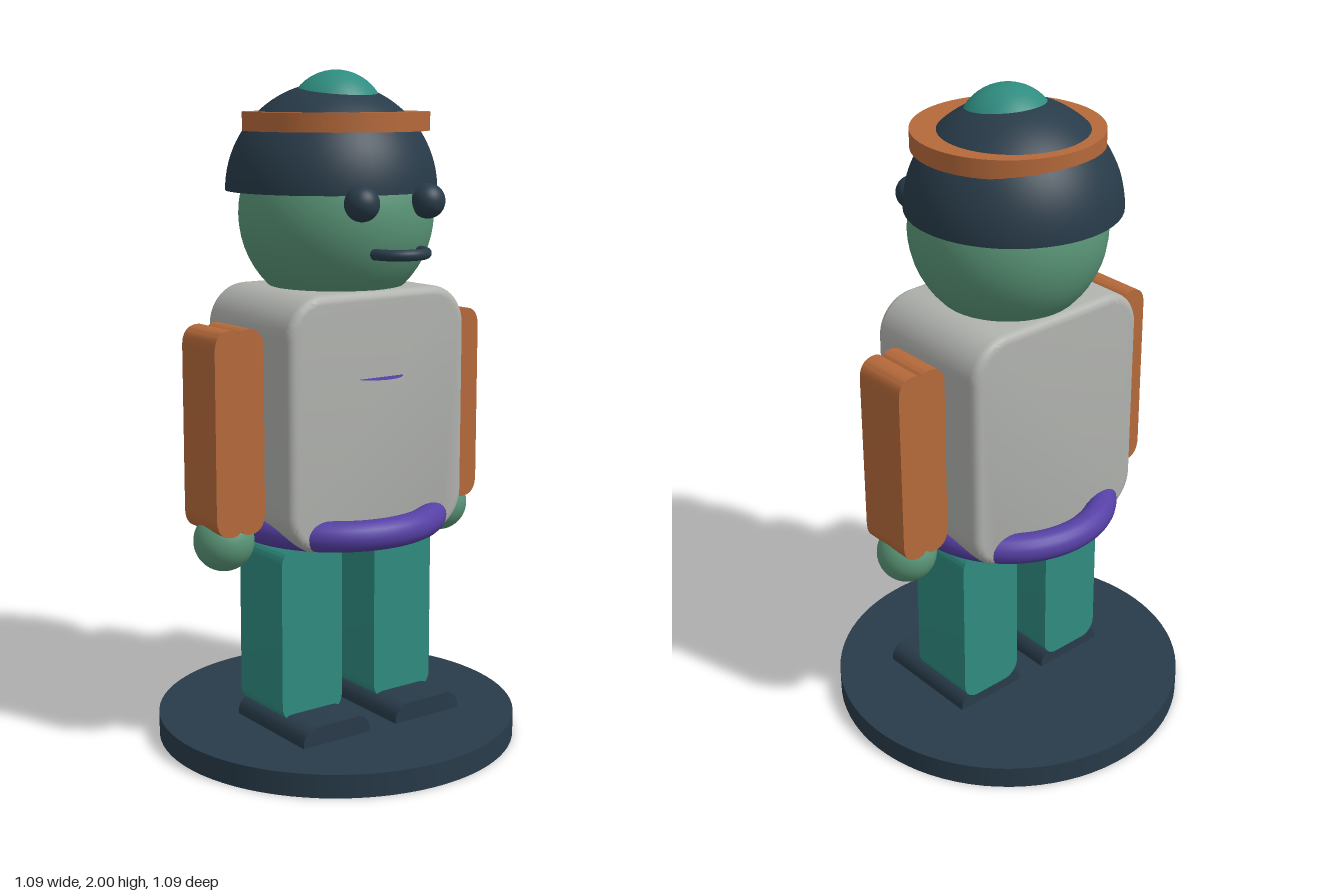
import * as THREE from 'three';
import { toCreasedNormals } from 'three/addons/utils/BufferGeometryUtils.js';

const paint = (name, color) => {
  const m = new THREE.MeshStandardMaterial({ color });
  m.name = name;
  return m;
};

// Rounded rectangle centred on the origin
function roundedRect(w, h, r) {
  const x = w / 2, y = h / 2, s = new THREE.Shape();
  s.moveTo(-x + r, -y);
  s.lineTo(x - r, -y);
  s.absarc(x - r, -y + r, r, -Math.PI / 2, 0);
  s.absarc(x - r, y - r, r, 0, Math.PI / 2);
  s.absarc(-x + r, y - r, r, Math.PI / 2, Math.PI);
  s.absarc(-x + r, -y + r, r, Math.PI, Math.PI * 1.5);
  return s;
}

// Arm outline: each end has two soft lobes with a groove between them
function armShape(w, h) {
  const x = w / 2, y = h / 2, s = new THREE.Shape();
  s.moveTo(0, -y + 0.014);
  s.quadraticCurveTo(0.012, -y, 0.028, -y);
  s.quadraticCurveTo(x, -y, x, -y + 0.06);
  s.lineTo(x, y - 0.06);
  s.quadraticCurveTo(x, y, 0.028, y);
  s.quadraticCurveTo(0.012, y, 0, y - 0.014);
  s.quadraticCurveTo(-0.012, y, -0.028, y);
  s.quadraticCurveTo(-x, y, -x, y - 0.06);
  s.lineTo(-x, -y + 0.06);
  s.quadraticCurveTo(-x, -y, -0.028, -y);
  s.quadraticCurveTo(-0.012, -y, 0, -y + 0.014);
  return s;
}

// Extrusion centred along z, with optional bevel kept inside the given depth
function extrude(shape, depth, bevel = 0) {
  const g = new THREE.ExtrudeGeometry(shape, {
    depth: depth - 2 * bevel, curveSegments: 10, bevelEnabled: bevel > 0,
    bevelSize: bevel, bevelThickness: bevel, bevelOffset: -bevel, bevelSegments: 4,
  });
  g.translate(0, 0, -depth / 2 + bevel);
  return toCreasedNormals(g, 0.6);
}

export function createModel() {
  const navy = paint('navy', 0x283b49);
  const teal = paint('teal', 0x2f8c80);
  const orange = paint('orange', 0xb5693a);
  const grey = paint('grey', 0xb0b2ae);
  const green = paint('green', 0x5a9678);
  const purple = paint('purple', 0x5640a5);
  navy.side = purple.side = THREE.DoubleSide;

  const model = new THREE.Group();
  const add = (name, geometry, material, x, y, z) => {
    const mesh = new THREE.Mesh(geometry, material);
    mesh.name = name;
    mesh.position.set(x, y, z);
    model.add(mesh);
    return mesh;
  };
  const ball = (r) => new THREE.SphereGeometry(r, 40, 28);

  // Stand
  add('base', new THREE.CylinderGeometry(0.546, 0.546, 0.07, 80), navy, 0, 0.035, 0);

  // Torso, belt and chest badge
  add('torso', extrude(roundedRect(0.63, 0.745, 0.12), 0.44, 0.025), grey, 0, 1.0075, 0);
  add('belt', new THREE.TorusGeometry(0.29, 0.045, 20, 72), purple, 0, 0.685, 0).rotation.x = Math.PI / 2;
  add('chestBadge', new THREE.CircleGeometry(0.094, 40), purple, 0, 1.13, 0.172).rotation.x = -Math.PI / 2;

  // Paired limbs and eyes
  const leg = extrude(roundedRect(0.215, 0.53, 0.05), 0.225);
  const foot = extrude(roundedRect(0.24, 0.11, 0.05), 0.35);
  const arm = extrude(armShape(0.162, 0.595), 0.176);
  for (const [side, s] of [['left', 1], ['right', -1]]) {
    add(side + 'Leg', leg, teal, s * 0.168, 0.368, 0.002);
    add(side + 'Foot', foot, navy, s * 0.168, 0.071, 0.066);
    add(side + 'Arm', arm, orange, s * 0.396, 0.9875, 0);
    add(side + 'Hand', ball(0.089), green, s * 0.4, 0.659, 0);
    add(side + 'Eye', ball(0.05), navy, s * 0.116, 1.634, 0.284);
  }

  // Head and mouth
  add('head', ball(0.287), green, 0, 1.587, 0);
  add('mouth', new THREE.TorusGeometry(0.08, 0.016, 14, 32, Math.PI), navy, 0, 1.494, 0.295).rotation.x = Math.PI / 2;

  // Hat: open dome, band and top button
  add('hatDome', new THREE.SphereGeometry(0.311, 56, 24, 0, Math.PI * 2, 0, Math.PI / 2), navy, 0, 1.655, -0.024);
  add('hatBand', new THREE.CylinderGeometry(0.273, 0.273, 0.054, 64), orange, 0, 1.854, 0);
  add('hatButton', ball(0.145), teal, 0, 1.855, 0);

  return model;
}
